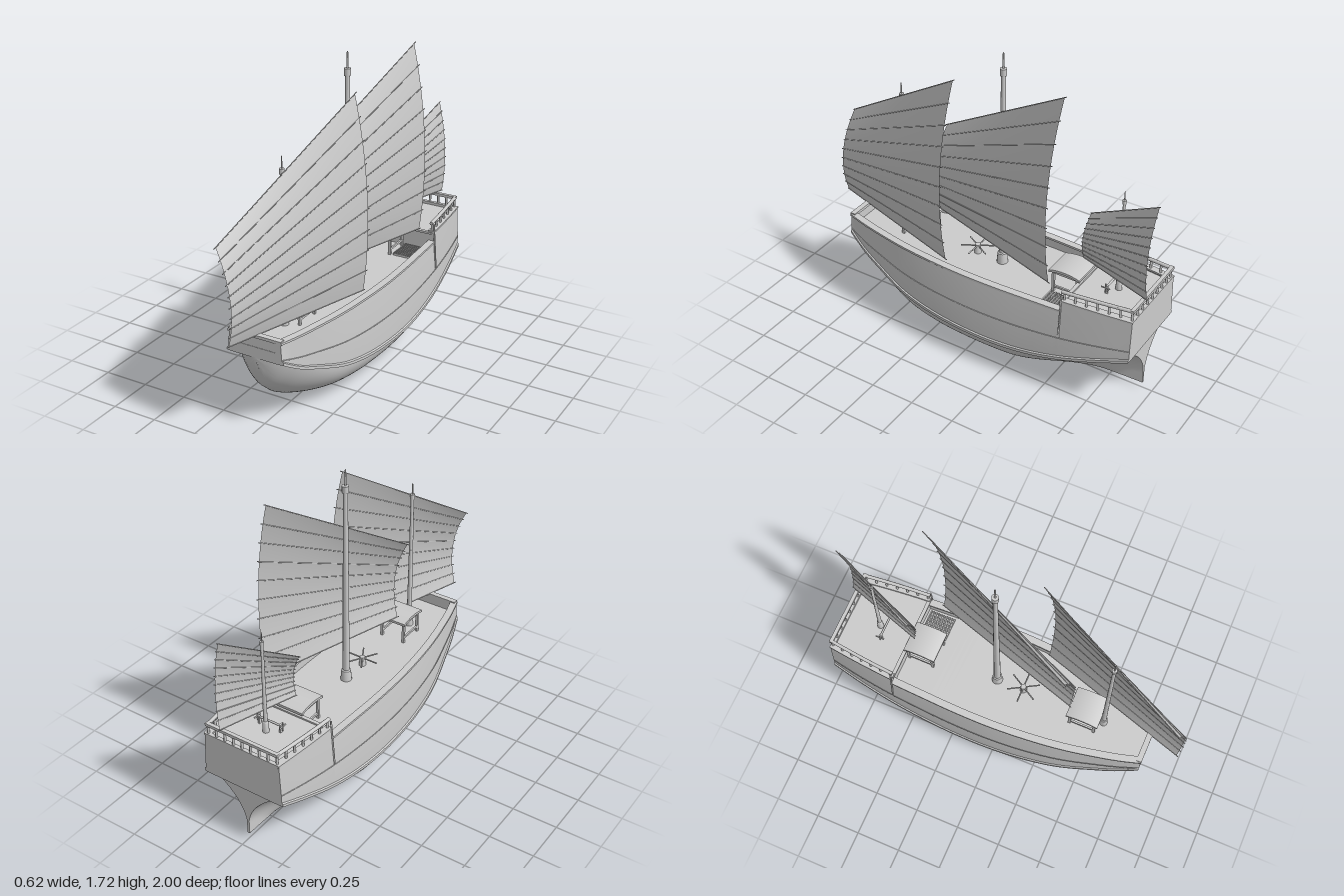
import * as THREE from 'three';
import { toCreasedNormals } from 'three/addons/utils/BufferGeometryUtils.js';

const grey = new THREE.MeshStandardMaterial({ color: 0xcccccc });
const thin = new THREE.MeshStandardMaterial({ color: 0xcccccc, side: THREE.DoubleSide });
const V = (x, y, z) => new THREE.Vector3(x, y, z);

// Hull lines: z, keel height, wale height, half width at wale, half width at rail
const stations = [
  [-0.97, 0.035, 0.345, 0.24, 0.225], [-0.8, 0.03, 0.29, 0.265, 0.245],
  [-0.6, 0.02, 0.23, 0.285, 0.262], [-0.4, 0.006, 0.19, 0.297, 0.272],
  [-0.2, 0, 0.175, 0.305, 0.28], [0, 0, 0.18, 0.305, 0.28],
  [0.2, 0.005, 0.195, 0.292, 0.268], [0.4, 0.035, 0.23, 0.265, 0.245],
  [0.6, 0.105, 0.3, 0.22, 0.207], [0.7, 0.17, 0.34, 0.195, 0.184],
  [0.78, 0.265, 0.385, 0.172, 0.161], [0.82, 0.39, 0.41, 0.16, 0.148],
];
const lines = new THREE.CubicInterpolant(stations.map(s => s[0]), stations.flatMap(s => s.slice(1)), 4);
function at(z) {
  const [keel, wale, half, rail] = lines.evaluate(z);
  return { keel, wale, half, rail, mid: 0.345 + 0.4 * (wale - 0.18) };
}

function add(parent, name, geometry, material = grey) {
  const mesh = new THREE.Mesh(geometry, material);
  mesh.name = name;
  parent.add(mesh);
  return mesh;
}
function box(parent, name, w, h, d, x, y, z) {
  return add(parent, name, new THREE.BoxGeometry(w, h, d).translate(x, y, z));
}
// Round bar between two points
function bar(parent, name, a, b, r, sides = 6) {
  const mesh = add(parent, name, new THREE.CylinderGeometry(r, r, a.distanceTo(b), sides));
  mesh.position.copy(a).add(b).multiplyScalar(0.5);
  mesh.quaternion.setFromUnitVectors(V(0, 1, 0), b.clone().sub(a).normalize());
  return mesh;
}
// Solid through counter-clockwise section rings from z0 up to z1, capped at both ends
function loft(section, z0, z1, steps, crease = 0.5) {
  const pos = [], index = [];
  let n = 0, ring;
  for (let i = 0; i <= steps; i++) {
    const z = z0 + (z1 - z0) * i / steps;
    ring = section(z);
    n = ring.length;
    for (const [x, y] of ring) pos.push(x, y, z);
  }
  for (let i = 0; i < steps; i++) for (let j = 0; j < n; j++) {
    const a = i * n + j, b = i * n + (j + 1) % n;
    index.push(a, b, a + n, b, b + n, a + n);
  }
  const cap = (r, base, flip) => {
    const pts = r.map(p => new THREE.Vector2(p[0], p[1]));
    for (const [a, b, c] of THREE.ShapeUtils.triangulateShape(pts, []))
      index.push(base + a, base + (flip ? c : b), base + (flip ? b : c));
  };
  cap(section(z0), 0, true);
  cap(ring, steps * n, false);
  const g = new THREE.BufferGeometry();
  g.setAttribute('position', new THREE.Float32BufferAttribute(pos, 3));
  g.setIndex(index);
  return toCreasedNormals(g, crease);
}
const mirror = half => [...half, ...half.slice().reverse().map(([x, y]) => [-x, y])];

// Rounded bottom with a pinched, keeled bow and a thin skeg at the stern
function bottomSection(z) {
  const { keel, wale, half } = at(z), pts = [];
  const stern = THREE.MathUtils.smoothstep(-z, 0.25, 0.95);
  const bow = THREE.MathUtils.smoothstep(z, 0.35, 0.85);
  const pinch = Math.sqrt(1 - Math.min(0.99, (Math.max(0, z - 0.5) / 0.32) ** 5)) * (1 - 0.18 * stern ** 3);
  for (let j = 0; j <= 18; j++) {
    const s = (j / 18) ** 1.7;
    const full = THREE.MathUtils.lerp((1 - (1 - s) ** 2.2) ** 0.55, s ** 0.8, 0.5 * bow);
    const x = (half - 0.028) * pinch * THREE.MathUtils.lerp(full, s ** 2.6, stern);
    pts.push([Math.max(x, 0.007 * Math.min(1, j + 0.6)), keel + (wale + 0.004 - keel) * s]);
  }
  return mirror(pts);
}
// Sides leaning inward above a bevelled wale, with bulwark and sunken deck
const topSection = (top, deck) => z => {
  const { wale, half, rail, mid } = at(z);
  return mirror([[half - 0.03, wale], [half + 0.002, wale + 0.002], [half + 0.002, wale + 0.018],
    [half - 0.005, wale + 0.024], [half - 0.006, mid], [rail, top], [rail - 0.028, top], [rail - 0.028, deck]]);
};

const DECK = 0.47, RAIL = 0.525, POOP = 0.575, POOP_TOP = 0.59;

function buildHull(g) {
  add(g, 'hullBottom', loft(bottomSection, -0.945, 0.82, 90, 0.7));
  add(g, 'topsides', loft(topSection(RAIL, DECK), -0.585, 0.82, 48));
  add(g, 'quarterdeck', loft(topSection(POOP_TOP, POOP), -0.965, -0.585, 14));
  for (const s of [1, -1]) {
    const strip = (inner, outer, y0, y1) => z => {
      const r = at(z).rail, a = r - inner, b = r + outer;
      const ring = [[a, y0], [b, y0], [b, y1], [a, y1]];
      return s > 0 ? ring : ring.reverse().map(([x, y]) => [-x, y]);
    };
    add(g, 'bulwarkCap', loft(strip(0.034, 0.006, 0.52, 0.532), -0.585, 0.822, 40));
    add(g, 'quarterdeckCap', loft(strip(0.034, 0.004, 0.583, 0.593), -0.968, -0.58, 10));
    // Slim strake along the side
    const pts = [];
    for (let i = 0; i <= 30; i++) {
      const z = -0.963 + 1.783 * i / 30, c = at(z);
      pts.push(V(s * (c.half - 0.006), c.mid, z));
    }
    add(g, 'sideStrake', new THREE.TubeGeometry(new THREE.CatmullRomCurve3(pts), 60, 0.003, 6));
    // Edge timber at the break of the quarterdeck
    const c = at(-0.585);
    bar(g, 'breakTimber', V(s * (c.half - 0.006), 0.37, -0.585), V(s * (c.rail - 0.002), 0.63, -0.585), 0.005);
  }
  box(g, 'bowRail', 0.3, 0.016, 0.03, 0, 0.53, 0.808);
  box(g, 'bowBulwark', 0.28, 0.07, 0.02, 0, 0.495, 0.808);
  box(g, 'quarterdeckEdge', 0.5, 0.012, 0.02, 0, 0.578, -0.585);
  box(g, 'sternSill', 0.44, 0.016, 0.02, 0, 0.584, -0.957);
}

// Balustrade around the quarterdeck
function buildRailing(g) {
  const railY = z => 0.642 - 0.03 * (z + 0.77);
  const edge = z => at(z).rail - 0.017;
  for (const s of [1, -1]) {
    for (let i = 0; i <= 6; i++) {
      const z = -0.595 - i * 0.06;
      bar(g, 'railPost', V(s * edge(z), 0.585, z), V(s * edge(z), railY(z), z), 0.007);
    }
    const path = [-0.58, -0.68, -0.78, -0.88, -0.967].map(z => V(s * edge(z), railY(z), z));
    for (let i = 0; i < 4; i++) bar(g, 'handrail', path[i], path[i + 1], 0.01, 8);
  }
  const w = edge(-0.957);
  for (let i = 1; i < 8; i++) {
    const x = -w + 2 * w * i / 8;
    bar(g, 'sternPost', V(x, 0.585, -0.957), V(x, 0.646, -0.957), 0.007);
  }
  box(g, 'sternRail', 2 * w + 0.02, 0.016, 0.02, 0, 0.648, -0.957);
}

// Mast with a thick foot, a collar near the head and a thin spire
function buildMast(g, name, z, base, top, r) {
  const h = top - base, c0 = h - r * 6.8, c1 = h - r * 4.8;
  const profile = [[0, 0], [r * 1.6, 0], [r * 1.35, 0.06], [r, 0.065], [r * 0.65, c0],
    [r * 0.95, c0], [r * 0.95, c1], [r * 0.28, c1 + 0.001], [r * 0.22, h - 0.01], [0, h]];
  const lathe = new THREE.LatheGeometry(profile.map(p => new THREE.Vector2(...p)), 14);
  add(g, name, toCreasedNormals(lathe, 0.6)).position.set(0, base, z);
}

// Battened sail: from leading edge to trailing edge, curling over towards the head
function buildSail(g, name, { lead, trail, foot, leadTop, trailTop, belly, panels }) {
  const [x0, z0] = lead, [x1, z1] = trail;
  const normal = V(z0 - z1, 0, x1 - x0).normalize();
  const point = (u, t) => V(x0 + (x1 - x0) * u, foot + (leadTop - foot + (trailTop - leadTop) * u) * t, z0 + (z1 - z0) * u)
    .addScaledVector(normal, belly * (0.24 * t * (1 - t) - 0.07 * t));
  const sail = new THREE.Group();
  sail.name = name;
  g.add(sail);
  const cloth = new THREE.PlaneGeometry(1, 1, 6, panels * 3), p = cloth.attributes.position;
  for (let i = 0; i < p.count; i++) {
    const q = point(p.getX(i) + 0.5, p.getY(i) + 0.5);
    p.setXYZ(i, q.x, q.y, q.z);
  }
  cloth.computeVertexNormals();
  add(sail, 'cloth', cloth, thin);
  for (let i = 0; i <= panels; i++) bar(sail, 'batten', point(-0.012, i / panels), point(1.012, i / panels), 0.0025);
}

// Open shelter with a bowed roof on four legs
function buildShelter(g, z) {
  const roof = new THREE.BoxGeometry(0.176, 0.014, 0.18, 1, 1, 10), p = roof.attributes.position;
  for (let i = 0; i < p.count; i++) p.setY(i, p.getY(i) + 0.014 * (1 - (p.getZ(i) / 0.09) ** 2));
  add(g, 'shelterRoof', toCreasedNormals(roof, 0.5)).position.set(0, 0.597, z);
  for (const x of [-0.07, 0.07]) {
    for (const dz of [-0.07, 0.07]) box(g, 'shelterLeg', 0.014, 0.13, 0.014, x, 0.53, z + dz);
    for (const y of [0.5, 0.588]) box(g, 'shelterBeam', 0.01, 0.012, 0.15, x, y, z);
  }
  for (const dz of [-0.07, 0.07]) box(g, 'shelterTie', 0.14, 0.012, 0.01, 0, 0.588, z + dz);
}

function buildDeckGear(g) {
  buildShelter(g, 0.45);
  buildShelter(g, -0.5);
  // Grating in the deck beside the shelter
  for (let i = 0; i < 10; i++) box(g, 'gratingSlat', 0.135, 0.012, 0.006, 0.158, 0.478, -0.43 - i * 0.0155);
  for (let i = 0; i < 8; i++) box(g, 'gratingBar', 0.006, 0.008, 0.146, 0.0935 + i * 0.0184, 0.475, -0.5);
  // Capstan with spokes
  add(g, 'capstan', new THREE.CylinderGeometry(0.015, 0.02, 0.055, 12).translate(0, 0.495, 0.08));
  for (let i = 0; i < 3; i++) {
    const a = i * Math.PI / 3, d = V(Math.cos(a), 0, Math.sin(a)).multiplyScalar(0.09), c = V(0, 0.514, 0.08);
    bar(g, 'capstanBar', c.clone().sub(d), c.clone().add(d), 0.004);
  }
  // Windlass on the quarterdeck
  bar(g, 'windlassDrum', V(-0.08, 0.615, -0.735), V(0.08, 0.615, -0.735), 0.006, 8);
  for (const x of [-0.065, 0.065]) {
    box(g, 'windlassStand', 0.01, 0.05, 0.014, x, 0.597, -0.735);
    bar(g, 'windlassHandle', V(x * 1.2, 0.615, -0.76), V(x * 1.2, 0.615, -0.71), 0.004);
    bar(g, 'windlassHandle', V(x * 1.2, 0.59, -0.735), V(x * 1.2, 0.64, -0.735), 0.004);
  }
}

export function createModel() {
  const ship = new THREE.Group();
  ship.name = 'sailingShip';
  buildHull(ship);
  buildRailing(ship);
  buildDeckGear(ship);
  buildMast(ship, 'mainMast', -0.075, DECK, 1.72, 0.019);
  buildMast(ship, 'foreMast', 0.55, DECK, 1.37, 0.014);
  buildMast(ship, 'mizzenMast', -0.77, POOP, 1.165, 0.011);
  buildSail(ship, 'foreSail', { lead: [-0.04, 0.98], trail: [0.22, 0.14], foot: 0.535, leadTop: 1.03, trailTop: 1.575, belly: 1, panels: 9 });
  buildSail(ship, 'mainSail', { lead: [-0.04, 0.36], trail: [0.22, -0.485], foot: 0.638, leadTop: 1.13, trailTop: 1.67, belly: 1, panels: 9 });
  buildSail(ship, 'mizzenSail', { lead: [-0.025, -0.55], trail: [0.115, -0.98], foot: 0.667, leadTop: 0.925, trailTop: 1.195, belly: 0.55, panels: 10 });
  return ship;
}
